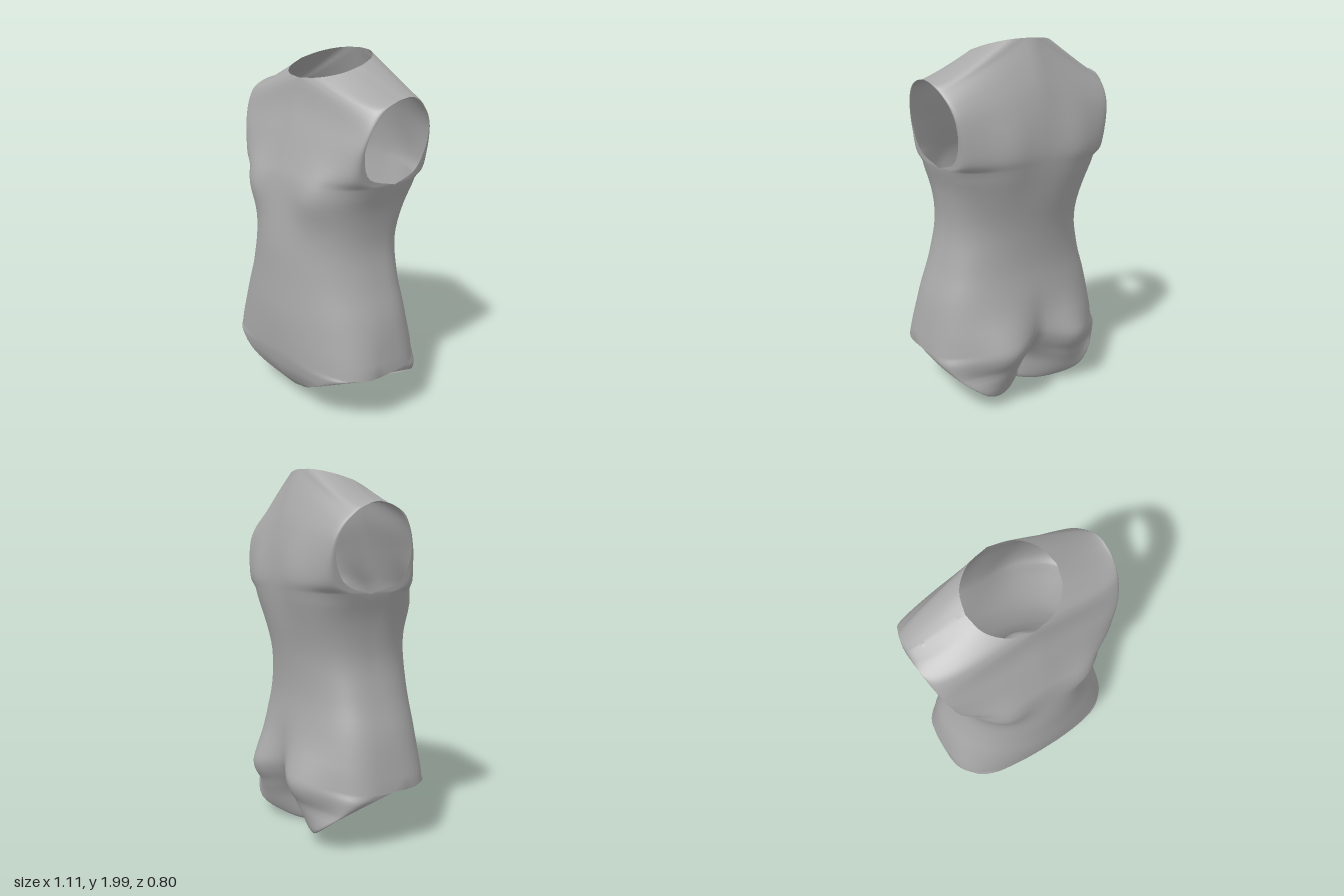
import * as THREE from 'three';
import { mergeVertices } from 'three/addons/utils/BufferGeometryUtils.js';

const ACROSS = 20, STEPS = 4;

// Each row runs from an inner point (centre line, then neck edge)
// to an outer point (leg edge, side seam, then armhole edge): x,y,z, x,y,z
const FRONT = [
  [0, .02, -.06, .02, .03, -.06],
  [0, .03, .08, .02, .042, .08],
  [0, .06, .2, .04, .08, .2],
  [0, .14, .29, .16, .165, .3],
  [0, .23, .35, .32, .26, .335],
  [0, .33, .378, .47, .32, .22],
  [0, .42, .388, .557, .33, .03],   // hip
  [0, .6, .395, .51, .6, 0],
  [0, .8, .385, .445, .8, -.02],
  [0, 1, .375, .4, 1, -.03],
  [0, 1.2, .35, .415, 1.2, -.05],
  [0, 1.36, .325, .46, 1.355, -.06], // armpit
  [0, 1.46, .295, .46, 1.41, .12],
  [0, 1.6, .25, .475, 1.53, .175],
  [0, 1.74, .205, .495, 1.63, .165],
  [0, 1.87, .182, .513, 1.71, .125], // neck front
  [.12, 1.88, .154, .525, 1.765, .075],
  [.208, 1.903, .078, .535, 1.797, .01],
  [.24, 1.937, -.025, .54, 1.81, -.06],
];
const BACK = [
  [0, .02, -.06, .02, .03, -.06],
  [0, .03, -.11, .07, .008, -.13],
  [0, .11, -.125, .18, .035, -.22],
  [0, .19, -.15, .33, .1, -.295],
  [0, .28, -.24, .46, .2, -.25],
  [0, .36, -.3, .535, .28, -.12],
  [0, .44, -.325, .557, .33, .03],   // hip
  [0, .6, -.325, .51, .6, 0],
  [0, .8, -.305, .445, .8, -.02],
  [0, 1, -.315, .4, 1, -.03],
  [0, 1.2, -.35, .415, 1.2, -.05],
  [0, 1.36, -.372, .46, 1.355, -.06], // armpit
  [0, 1.46, -.375, .46, 1.4, -.2],
  [0, 1.6, -.358, .47, 1.5, -.265],
  [0, 1.75, -.325, .487, 1.61, -.275],
  [0, 1.88, -.28, .503, 1.69, -.245],
  [0, 2, -.232, .518, 1.75, -.19],    // neck back
  [.12, 1.992, -.204, .53, 1.785, -.14],
  [.208, 1.968, -.128, .537, 1.803, -.1],
  [.24, 1.937, -.025, .54, 1.81, -.06],
];

// Smooth track through row ends, with corners at the given rows
function track(rows, offset, corners) {
  const pts = rows.map(r => new THREE.Vector3(r[offset], r[offset + 1], r[offset + 2]));
  const stops = [0, ...corners, rows.length - 1];
  const out = [pts[0]];
  for (let s = 0; s < stops.length - 1; s++) {
    const part = pts.slice(stops[s], stops[s + 1] + 1);
    const curve = new THREE.CatmullRomCurve3(part, false, 'catmullrom', 0.5);
    const n = (part.length - 1) * STEPS;
    for (let k = 1; k <= n; k++) out.push(curve.getPoint(k / n));
  }
  return out;
}

const hump = (v, centre, width) => Math.exp(-(((v - centre) / width) ** 2));

// One half panel: cross-sections swept from the centre line to the side
function addPanel(rows, neckRow, isFront, side, positions, index) {
  const inner = track(rows, 0, [neckRow]);
  const outer = track(rows, 3, [6, 11]);
  const base = positions.length / 3;
  inner.forEach((a, j) => {
    const b = outer[j];
    // Sections are squarer beside the armpit and the hip
    const power = .8 - .3 * hump(b.y, 1.36, .2) - .22 * hump(b.y, .33, .2);
    for (let i = 0; i <= ACROSS; i++) {
      const t = i / ACROSS, last = i === ACROSS;
      const s = last ? 1 : Math.sin(t * Math.PI / 2);
      const edge = last ? 0 : Math.sin(Math.PI * t);
      const x = THREE.MathUtils.lerp(a.x, b.x, s);
      const y = THREE.MathUtils.lerp(a.y, b.y, s) - .02 * hump(b.y, 1.81, .08) * edge;
      const round = last ? 0 : Math.cos(t * Math.PI / 2) ** power;
      const w = Math.abs(b.z) > Math.abs(a.z) ? 1 - s : round;
      let z = b.z + (a.z - b.z) * w;
      if (isFront) {
        z += .045 * hump(x, .22, .14) * hump(y, 1.3, .14) * edge;          // bust
      } else {
        z -= .14 * hump(x, .17, .2) * hump(y, .3, .2) * edge ** .65;       // seat with cleft
        z -= .025 * hump(x, .18, .13) * hump(y, 1.45, .2) * edge;          // shoulder blades
      }
      positions.push(side * x, y, z);
    }
  });
  const flip = (side > 0) !== isFront;
  const row = ACROSS + 1;
  for (let j = 0; j < inner.length - 1; j++) {
    for (let i = 0; i < ACROSS; i++) {
      const p = base + j * row + i, q = p + 1, r = p + row, u = r + 1;
      if (flip) index.push(p, r, q, q, r, u);
      else index.push(p, q, r, q, u, r);
    }
  }
}

export function createModel() {
  const group = new THREE.Group();
  group.name = 'bodysuit';
  const fabric = new THREE.MeshStandardMaterial({ color: 0xa8a8a8, side: THREE.DoubleSide });
  fabric.name = 'grey fabric';

  const positions = [], index = [];
  for (const side of [1, -1]) {
    addPanel(FRONT, 15, true, side, positions, index);
    addPanel(BACK, 16, false, side, positions, index);
  }
  let shell = new THREE.BufferGeometry();
  shell.setAttribute('position', new THREE.Float32BufferAttribute(positions, 3));
  shell.setIndex(index);
  // Weld the centre lines, side seams and shoulder seams for smooth shading
  shell = mergeVertices(shell, 1e-4);
  shell.computeVertexNormals();

  const body = new THREE.Mesh(shell, fabric);
  body.name = 'torsoShell';
  group.add(body);
  return group;
}
